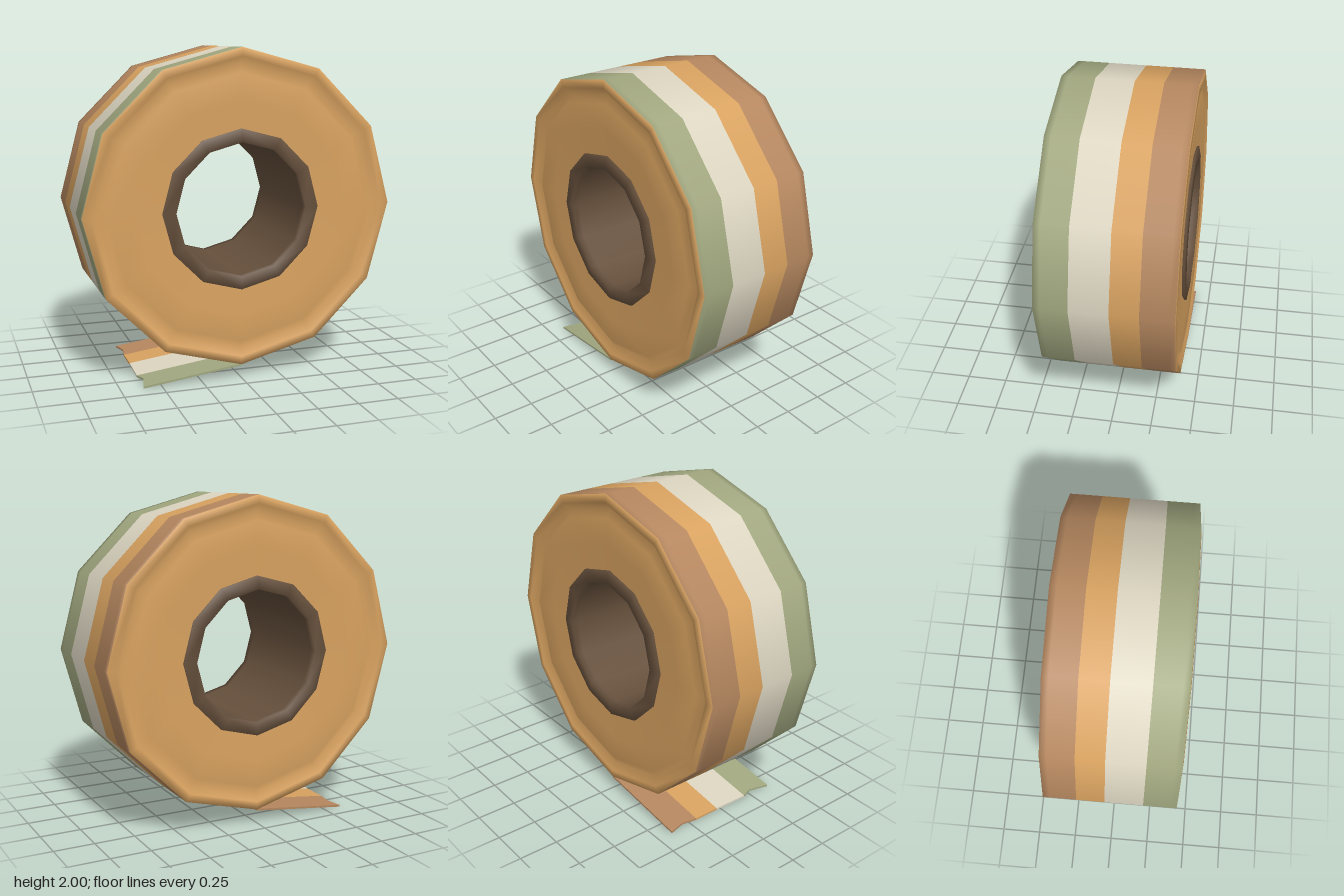
import * as THREE from 'three';

const SIDES = 12, CENTER_Y = 1.043, R = 0.957;

function material(name, color) {
  const m = new THREE.MeshStandardMaterial({ color });
  m.name = name;
  return m;
}

// Revolve a profile of [radius, z] pairs around the z axis
function revolve(profile) {
  const points = profile.map(([r, z]) => new THREE.Vector2(r, z));
  return new THREE.LatheGeometry(points, SIDES).rotateX(Math.PI / 2);
}

// Keep only profile spans from..to, so neighbouring parts share smooth normals
function sliceSpans(geometry, spans, from, to) {
  const part = geometry.clone();
  const index = Array.from(geometry.index.array).filter((_, k) => {
    const span = Math.floor(k / 6) % spans;
    return span >= from && span < to;
  });
  part.setIndex(index);
  return part;
}

export function createModel() {
  const model = new THREE.Group();
  model.name = 'tapeRoll';
  const orange = material('orange', 0xd8a260);
  const brown = material('brown', 0xb5875f);
  const cream = material('cream', 0xdcd5c1);
  const green = material('green', 0xa1a77f);
  const cardboard = material('cardboard', 0x66503c);

  function add(name, geometry, mat, y = 0) {
    const mesh = new THREE.Mesh(geometry, mat);
    mesh.name = name;
    mesh.position.y = y;
    model.add(mesh);
  }

  // Wound tape: side faces with a groove inside the rim, and four colour bands
  const side = [[0.485, 0.385], [0.65, 0.39], [0.81, 0.395], [0.86, 0.365], [0.905, 0.405], [R, 0.4], [R, 0.36]];
  const profile = [
    ...side.map(([r, z]) => [r, -z]),
    [R, -0.2], [R, -0.03], [R, 0.2],
    ...side.slice().reverse(),
  ];
  const wound = revolve(profile);
  const parts = [
    ['backFace', orange, 0, 5], ['brownBand', brown, 5, 7], ['orangeBand', orange, 7, 8],
    ['creamBand', cream, 8, 9], ['greenBand', green, 9, 11], ['frontFace', orange, 11, 16],
  ];
  for (const [name, mat, from, to] of parts) {
    add(name, sliceSpans(wound, profile.length - 1, from, to), mat, CENTER_Y);
  }

  // Hollow cardboard core
  add('core', revolve([
    [0.485, 0.36], [0.485, 0.4], [0.405, 0.405], [0.405, 0.36],
    [0.405, -0.36], [0.405, -0.405], [0.485, -0.4], [0.485, -0.36],
  ]), cardboard, CENTER_Y);

  // Loose tape end: sloping striped strip with a torn edge, listed as [z, x]
  const tornEdge = [
    [-0.4, -0.615], [-0.3, -0.59], [-0.2, -0.605], [-0.03, -0.605],
    [0.2, -0.61], [0.27, -0.585], [0.4, -0.615],
  ];
  const strips = [
    ['brownTapeEnd', brown, -0.4, -0.2], ['orangeTapeEnd', orange, -0.2, -0.03],
    ['creamTapeEnd', cream, -0.03, 0.2], ['greenTapeEnd', green, 0.2, 0.4],
  ];
  for (const [name, mat, z0, z1] of strips) {
    const edge = tornEdge.filter(([z]) => z >= z0 && z <= z1).map(([z, x]) => new THREE.Vector2(x, z));
    const shape = new THREE.Shape([new THREE.Vector2(0, z1), new THREE.Vector2(0, z0), ...edge]);
    const strip = new THREE.ExtrudeGeometry(shape, { depth: 0.012, bevelEnabled: false });
    strip.rotateX(Math.PI / 2);
    const p = strip.attributes.position;
    for (let i = 0; i < p.count; i++) p.setY(i, p.getY(i) + 0.091 + p.getX(i) * 0.128);
    strip.computeVertexNormals();
    add(name, strip, mat);
  }
  return model;
}
